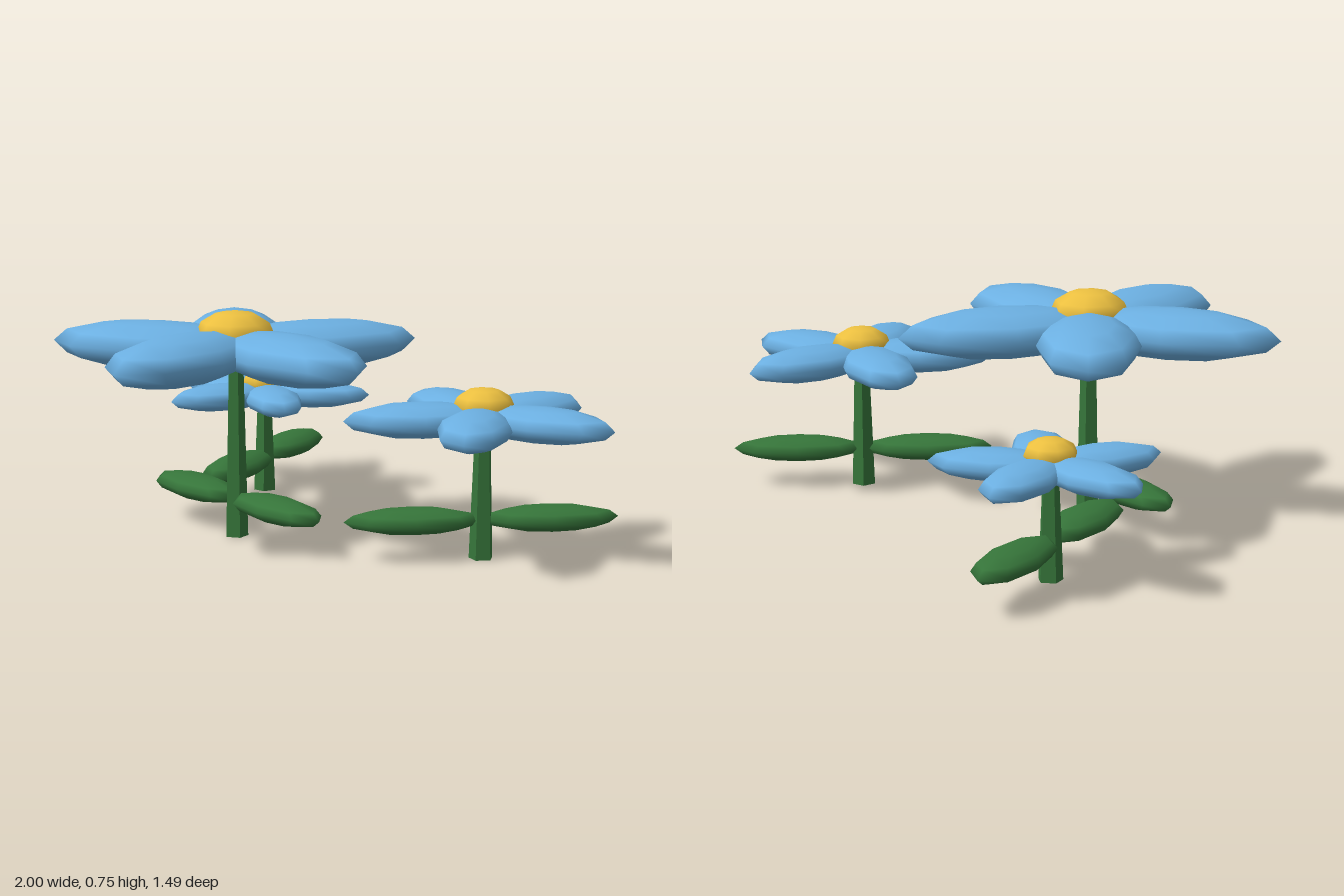
import * as THREE from 'three';

const blue = new THREE.MeshStandardMaterial({ color: 0x6cb0e2 });
const gold = new THREE.MeshStandardMaterial({ color: 0xecc040 });
const green = new THREE.MeshStandardMaterial({ color: 0x36753a });
const stemGreen = new THREE.MeshStandardMaterial({ color: 0x36753a, flatShading: true });

// Low-poly ellipsoid lying along x, pushed outward and turned about the stem
function blade(name, material, half, offset, y, angle) {
  const geometry = new THREE.SphereGeometry(1, 8, 6);
  geometry.scale(...half);
  geometry.translate(offset, y, 0);
  geometry.rotateY(angle);
  const mesh = new THREE.Mesh(geometry, material);
  mesh.name = name;
  return mesh;
}

function createFlower({ x, z, turn, height, size, centreRadius, rise }) {
  const flower = new THREE.Group();
  flower.name = 'flower';

  // Tapered five-sided stem
  const stem = new THREE.Mesh(new THREE.CylinderGeometry(0.025, 0.04, height, 5), stemGreen);
  stem.name = 'stem';
  stem.position.y = height / 2;
  flower.add(stem);

  // Pair of opposite leaves near the ground
  for (let i = 0; i < 2; i++) {
    flower.add(blade('leaf', green, [0.22, 0.042, 0.085], 0.22, 0.127, i * Math.PI));
  }

  // Ring of five petals
  const half = [0.35 * size, 0.08 * size, 0.165 * size];
  for (let i = 0; i < 5; i++) {
    flower.add(blade('petal', blue, half, 0.283 * size, height, i * Math.PI * 0.4));
  }

  // Flattened flower centre
  const ry = centreRadius * 0.6;
  flower.add(blade('flowerCentre', gold, [centreRadius, ry, centreRadius], 0, height + rise - ry, 0));

  flower.position.set(x, 0, z);
  flower.rotation.y = -THREE.MathUtils.degToRad(turn);
  return flower;
}

export function createModel() {
  const model = new THREE.Group();
  model.name = 'flowers';
  model.add(
    createFlower({ x: -0.132, z: 0.147, turn: 0, height: 0.625, size: 1, centreRadius: 0.13, rise: 0.125 }),
    createFlower({ x: 0.59, z: -0.285, turn: 122, height: 0.45, size: 0.7, centreRadius: 0.098, rise: 0.1 }),
    createFlower({ x: -0.63, z: -0.35, turn: -117.5, height: 0.352, size: 0.59, centreRadius: 0.084, rise: 0.09 })
  );
  return model;
}
